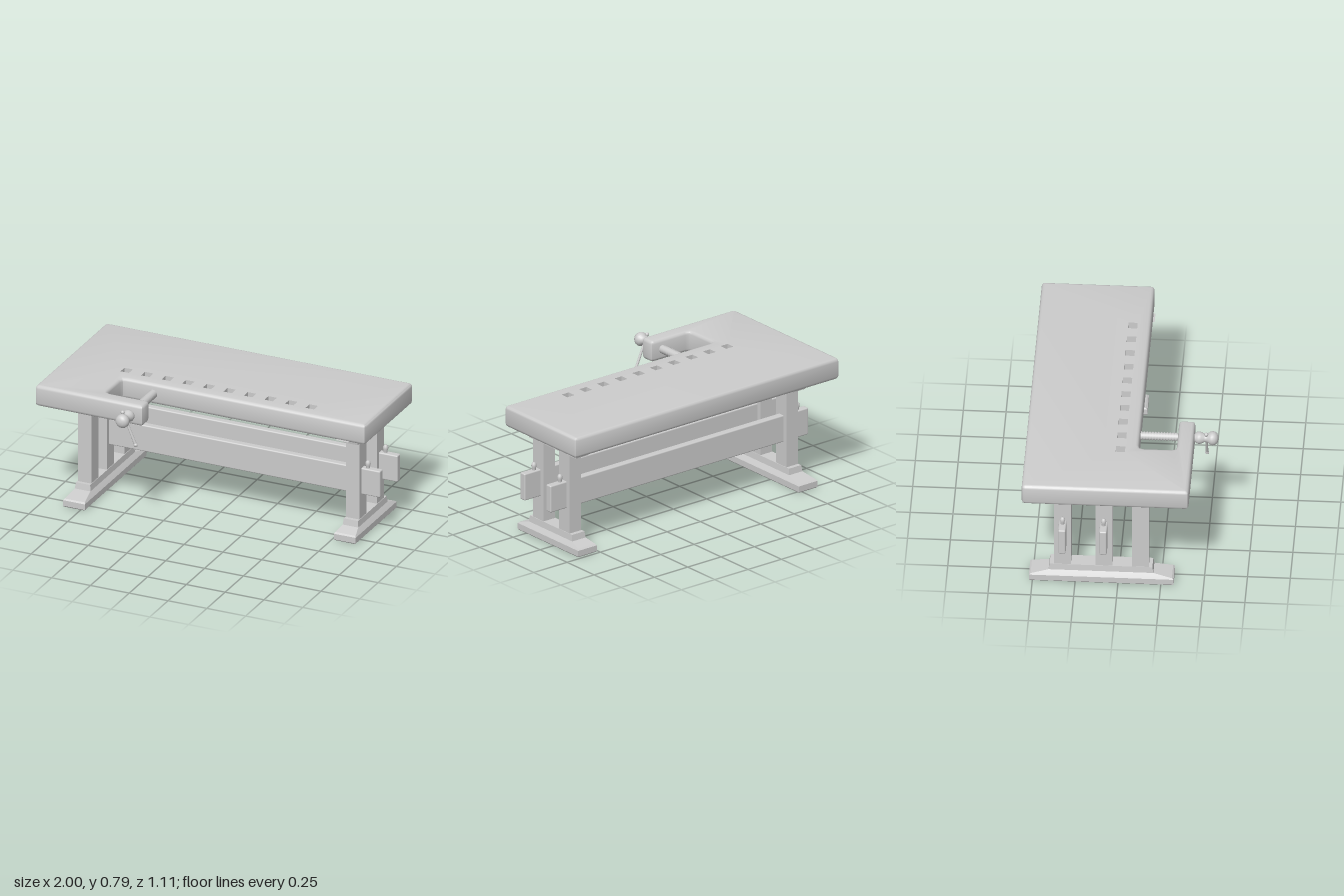
import * as THREE from 'three';
import { toCreasedNormals } from 'three/addons/utils/BufferGeometryUtils.js';
import { RoundedBoxGeometry } from 'three/addons/geometries/RoundedBoxGeometry.js';

const grey = new THREE.MeshStandardMaterial({ color: 0xcccccc });

function add(parent, name, geometry, x = 0, y = 0, z = 0) {
  const mesh = new THREE.Mesh(geometry, grey);
  mesh.name = name;
  mesh.position.set(x, y, z);
  parent.add(mesh);
  return mesh;
}

// Stack of rectangles, each level [y, half width, front z, back z]
function loft(levels) {
  const pos = [], index = [];
  for (const [y, w, f, b] of levels) pos.push(-w, y, f, w, y, f, w, y, b, -w, y, b);
  for (let i = 0; i < levels.length - 1; i++) {
    for (let j = 0; j < 4; j++) {
      const a = i * 4 + j, c = i * 4 + (j + 1) % 4;
      index.push(a, c, c + 4, a, c + 4, a + 4);
    }
  }
  const t = (levels.length - 1) * 4;
  index.push(0, 2, 1, 0, 3, 2, t, t + 1, t + 2, t, t + 2, t + 3);
  const g = new THREE.BufferGeometry();
  g.setAttribute('position', new THREE.Float32BufferAttribute(pos, 3));
  g.setIndex(index);
  return toCreasedNormals(g, 0.3);
}

// Lathe turned so that its axis runs along +z; profile points are [radius, z]
function turnedAlongZ(profile, segments = 24) {
  const pts = profile.map(([r, z]) => new THREE.Vector2(r, z));
  return new THREE.LatheGeometry(pts, segments).rotateX(Math.PI / 2);
}

// Slab with a jaw cut-out at the front, softened edges and a row of square holes
function tabletopGeometry() {
  const corners = [
    [-1, 0.42, 0.02], [-0.305, 0.42, 0.02], [-0.305, 0.325, 0.02], [-0.585, 0.325, 0.03],
    [-0.585, 0.105, 0.03], [0.98, 0.105, 0.02], [0.98, -0.555, 0.02], [-1, -0.555, 0.02],
  ].map(([x, z, r]) => ({ p: new THREE.Vector2(x, -z), r }));
  const shape = new THREE.Shape();
  corners.forEach(({ p, r }, i) => {
    const n = corners.length;
    const toward = (q) => q.clone().sub(p).setLength(r).add(p);
    const a = toward(corners[(i + n - 1) % n].p), b = toward(corners[(i + 1) % n].p);
    if (i === 0) shape.moveTo(a.x, a.y); else shape.lineTo(a.x, a.y);
    shape.quadraticCurveTo(p.x, p.y, b.x, b.y);
  });
  shape.closePath();

  const half = 0.027, firstX = -0.605, step = 0.1325;
  for (let i = 0; i < 10; i++) {
    const x = firstX + i * step;
    shape.holes.push(new THREE.Path([[-1, -1], [-1, 1], [1, 1], [1, -1]]
      .map(([sx, sy]) => new THREE.Vector2(x + sx * half, sy * half))));
  }
  const bevel = 0.02;
  const g = new THREE.ExtrudeGeometry(shape, {
    depth: 0.13 - 2 * bevel, bevelThickness: bevel, bevelSize: bevel,
    bevelOffset: -bevel, bevelSegments: 3, curveSegments: 2,
  });
  // Keep the walls of the holes straight
  const p = g.attributes.position;
  for (let i = 0; i < p.count; i++) {
    if (Math.abs(p.getY(i)) > 0.06 || p.getX(i) < -0.67 || p.getX(i) > 0.8) continue;
    if (p.getX(i) < -0.575 - 0.08) continue;
    const cx = firstX + Math.round((p.getX(i) - firstX) / step) * step;
    p.setX(i, cx + Math.sign(p.getX(i) - cx) * half);
    p.setY(i, Math.sign(p.getY(i)) * half);
  }
  g.rotateX(-Math.PI / 2).translate(0, 0.66 + bevel, 0);
  return toCreasedNormals(g, 0.65);
}

// Foot, posts and cleat at one end of the bench
function endFrame(name, x, legZs, foot, cleat) {
  const frame = new THREE.Group();
  frame.name = name;
  frame.position.x = x;
  const [f0, b0, f1, b1] = foot;
  add(frame, 'foot', loft([
    [0, 0.065, f0 - 0.005, b0 + 0.005], [0.006, 0.07, f0, b0], [0.042, 0.07, f0, b0],
    [0.05, 0.065, f0 - 0.01, b0 + 0.01], [0.072, 0.05, f1 + 0.006, b1 - 0.006],
    [0.11, 0.046, f1, b1],
  ]));
  const [c0, d0, c1, d1] = cleat;
  add(frame, 'cleat', loft([
    [0.6, 0.047, c1, d1], [0.63, 0.047, c1 + 0.006, d1 - 0.006],
    [0.638, 0.045, c1 + 0.03, d1 - 0.03], [0.665, 0.04, c0, d0],
  ]));
  for (const z of legZs) add(frame, 'leg', new THREE.BoxGeometry(0.086, 0.51, 0.098), 0, 0.355, z);
  return frame;
}

export function createModel() {
  const bench = new THREE.Group();
  bench.name = 'workbench';

  add(bench, 'tabletop', tabletopGeometry());

  bench.add(endFrame('rightFrame', -0.792, [0.13, -0.083, -0.325],
    [0.325, -0.52, 0.2, -0.4], [0.33, -0.52, 0.2, -0.435]));
  bench.add(endFrame('leftFrame', 0.835, [-0.083, -0.325],
    [0.075, -0.485, -0.01, -0.4], [0.115, -0.52, -0.003, -0.435]));

  // Long rails pass through the legs and are locked by pegs
  const pegProfile = [[0, -0.1], [0.009, -0.1], [0.011, 0], [0.012, 0.012], [0.016, 0.025],
    [0.014, 0.038], [0.008, 0.046], [0, 0.048]].map(([r, y]) => new THREE.Vector2(r, y));
  const peg = new THREE.LatheGeometry(pegProfile, 16);
  for (const z of [-0.083, -0.323]) {
    add(bench, 'rail', new RoundedBoxGeometry(1.935, 0.168, 0.044, 3, 0.008), 0.03, 0.344, z);
    for (const x of [-0.868, 0.911]) add(bench, 'railPeg', peg, x, 0.428, z);
  }

  // Front vise
  const vise = new THREE.Group();
  vise.name = 'vise';
  vise.position.set(-0.385, 0.727, 0);
  bench.add(vise);

  const thread = [];
  const teeth = 14, z0 = 0.1, z1 = 0.335;
  for (let i = 0; i <= teeth * 2; i++) {
    thread.push([i % 2 ? 0.027 : 0.02, z0 + (z1 - z0) * i / (teeth * 2)]);
  }
  add(vise, 'viseScrew', turnedAlongZ(thread, 20));

  const knob = [[0, 0.41], [0.024, 0.41], [0.026, 0.425], [0.035, 0.434], [0.037, 0.446],
    [0.034, 0.46], [0.026, 0.474], [0.024, 0.485], [0.027, 0.496], [0.037, 0.508],
    [0.042, 0.522], [0.04, 0.537], [0.031, 0.55], [0.016, 0.557], [0, 0.558]];
  add(vise, 'viseKnob', turnedAlongZ(knob));

  const handle = new THREE.Group();
  handle.name = 'viseHandle';
  handle.position.z = 0.488;
  handle.rotation.z = 0.41;
  vise.add(handle);
  add(handle, 'handleBar', new THREE.CylinderGeometry(0.008, 0.008, 0.215, 12), 0, -0.063, 0);
  for (const y of [0.04, -0.17]) add(handle, 'handleEnd', new THREE.SphereGeometry(0.012, 14, 10), 0, y, 0);

  return bench;
}
